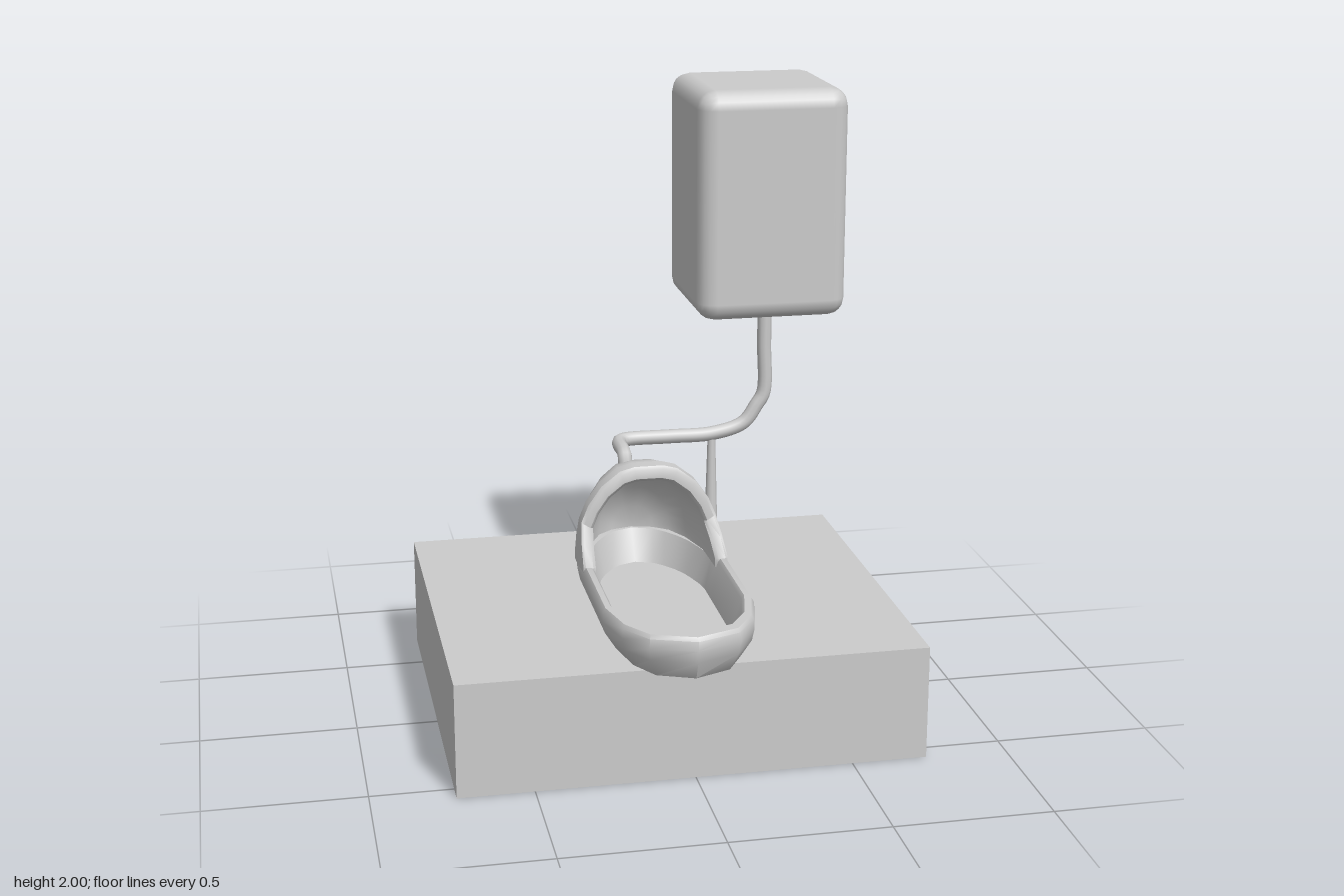
import * as THREE from 'three';
import { RoundedBoxGeometry } from 'three/addons/geometries/RoundedBoxGeometry.js';
import { toCreasedNormals } from 'three/addons/utils/BufferGeometryUtils.js';

const material = new THREE.MeshStandardMaterial({ color: 0xcccccc, side: THREE.DoubleSide });
const CX = -0.02; // sideways centre of the pan

// Skin a list of equally long cross-sections
function loft(rows) {
  const n = rows[0].length, index = [];
  for (let i = 0; i < rows.length - 1; i++) {
    for (let j = 0; j < n - 1; j++) {
      const a = i * n + j, b = a + 1, c = b + n, d = a + n;
      index.push(a, b, c, a, c, d);
    }
  }
  const geometry = new THREE.BufferGeometry();
  geometry.setAttribute('position', new THREE.Float32BufferAttribute(rows.flat(2), 3));
  geometry.setIndex(index);
  return toCreasedNormals(geometry, 0.75);
}

// Long pan: plan outline stacked outside-up, over the rim and down to the floor
function panGeometry() {
  const half = [[0, 0.69], [0.14, 0.64], [0.205, 0.545], [0.24, 0.4], [0.24, 0.04], [0.24, -0.08], [0.232, -0.14],
    [0.215, -0.2], [0.193, -0.27], [0.163, -0.33], [0.12, -0.39], [0.08, -0.43], [0, -0.46]];
  const outline = [...half, ...half.slice(0, -1).reverse().map(([x, z]) => [-x, z])];
  // inset in x, inset in z, height
  const levels = [[0.24, 0.575, 0.335], [0.15, 0.12, 0.335], [0.045, 0.035, 0.37], [0.008, 0.008, 0.43], [0, 0, 0.47],
    [0.003, 0.003, 0.5], [0.01, 0.012, 0.512], [0.028, 0.05, 0.512], [0.036, 0.062, 0.5], [0.062, 0.125, 0.378],
    [0.24, 0.575, 0.376]];
  const midZ = 0.115;
  return loft(levels.map(([ix, iz, y]) => outline.map(([x, z]) => [
    CX + x * (1 - ix / 0.24),
    z < -0.07 ? Math.min(y, 0.48) : y,
    midZ + (z - midZ) * (1 - iz / 0.575),
  ])));
}

// Hood: arches along z, from the inside back, round the front lip, to the outside back
function hoodGeometry() {
  const half = [[1, 0], [1, 0.1], [0.98, 0.27], [0.94, 0.44], [0.84, 0.62], [0.66, 0.81], [0.4, 0.96], [0.2, 1]];
  const arch = [...half.map(([u, v]) => [-u, v]), [0, 1], ...half.slice().reverse()];
  const base = 0.48;
  // z, half width, top height, whether the edge sweeps forward at its foot
  const sections = [
    [-0.41, 0, 0.48], [-0.39, 0.07, 0.56], [-0.35, 0.12, 0.64], [-0.27, 0.16, 0.715], [-0.14, 0.193, 0.745],
    [-0.09, 0.197, 0.75, 1], [-0.08, 0.207, 0.76, 1], [-0.08, 0.23, 0.79, 1], [-0.088, 0.238, 0.8, 1],
    [-0.137, 0.238, 0.8], [-0.145, 0.23, 0.785], [-0.2, 0.215, 0.782], [-0.27, 0.193, 0.765], [-0.33, 0.163, 0.715],
    [-0.39, 0.12, 0.635], [-0.43, 0.08, 0.56], [-0.453, 0.035, 0.505], [-0.46, 0, 0.48]];
  return loft(sections.map(([z, w, top, front]) => arch.map(([u, v]) => [
    CX + u * w,
    base + v * (top - base),
    z + (front ? 0.12 * THREE.MathUtils.clamp((0.44 - v) / 0.34, 0, 1) : 0),
  ])));
}

export function createModel() {
  const group = new THREE.Group();
  const add = (name, geometry, x = 0, y = 0, z = 0) => {
    const mesh = new THREE.Mesh(geometry, material);
    mesh.name = name;
    mesh.position.set(x, y, z);
    group.add(mesh);
  };

  // Raised platform
  add('platform', new THREE.BoxGeometry(1.48, 0.37, 1.265), 0, 0.185, -0.067);

  // Squat pan with its hood
  add('pan', panGeometry());
  add('hood', hoodGeometry());

  // Water tank
  add('tank', new RoundedBoxGeometry(0.495, 0.75, 0.51, 2, 0.06), 0.408, 1.625, -0.403);

  // Flush pipe from the tank to the top of the hood
  const path = [[0.445, 1.28, -0.425], [0.445, 1.1, -0.425], [0.445, 0.93, -0.425], [0.42, 0.885, -0.425],
    [0.375, 0.825, -0.425], [0.27, 0.793, -0.425], [0.12, 0.79, -0.425], [-0.02, 0.79, -0.425],
    [-0.055, 0.79, -0.41], [-0.066, 0.79, -0.375], [-0.066, 0.79, -0.3], [-0.066, 0.782, -0.27], [-0.066, 0.75, -0.258]];
  const curve = new THREE.CatmullRomCurve3(path.map((p) => new THREE.Vector3(...p)));
  add('flushPipe', new THREE.TubeGeometry(curve, 64, 0.024, 10), 0, 0, 0);

  // Post holding the pipe
  const post = new THREE.CylinderGeometry(0.013, 0.025, 0.43, 10);
  add('pipeSupport', post, 0.264, 0.575, -0.425);

  return group;
}
